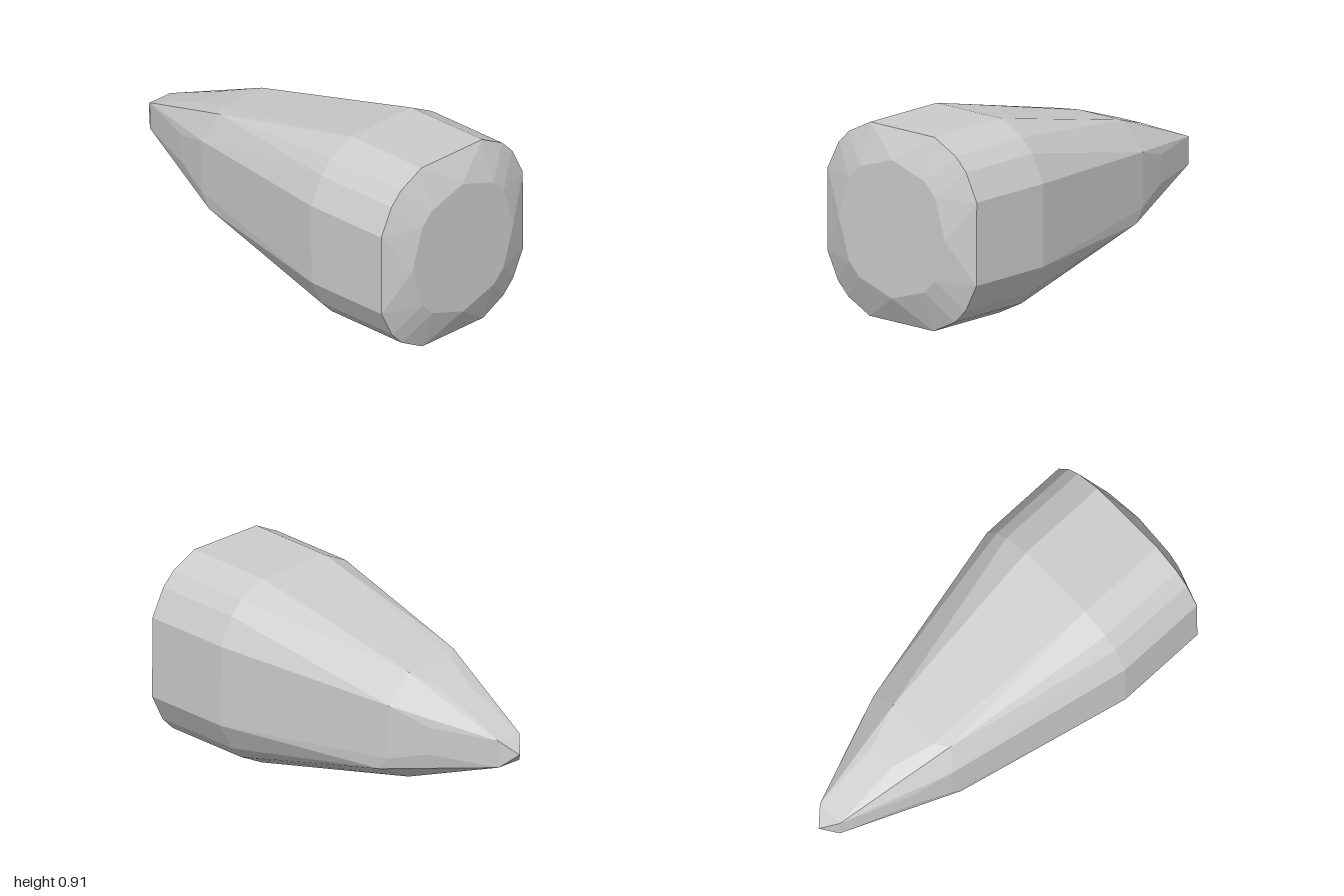
import * as THREE from 'three';
import { ConvexGeometry } from 'three/addons/geometries/ConvexGeometry.js';

// Cross-sections along x: one octant of (y, z) offsets, mirrored eight ways
const sections = [
  { x: -0.93, octant: [[0.065, 0.065]] },
  { x: -0.60, octant: [[0.195, 0.067]] },
  { x: -0.41, octant: [[0.257, 0.13]] },
  { x: 0.48, octant: [[0.454, 0.195], [0.388, 0.325]] },
  { x: 0.927, octant: [[0.454, 0.195], [0.388, 0.325]] },
  { x: 0.995, octant: [[0.324, 0], [0.26, 0.197]] },
];

function hullPoints() {
  const points = [new THREE.Vector3(-1, 0, 0)]; // pointed tip
  for (const { x, octant } of sections)
    for (const [a, b] of octant)
      for (const s of [-1, 1])
        for (const t of [-1, 1])
          points.push(new THREE.Vector3(x, a * s, b * t), new THREE.Vector3(x, b * t, a * s));
  // Small irregular shoulders behind the nose
  points.push(
    new THREE.Vector3(-0.36, -0.195, 0.262),
    new THREE.Vector3(-0.36, -0.195, -0.262),
    new THREE.Vector3(-0.36, 0.262, 0.195),
  );
  return points;
}

export function createModel() {
  const group = new THREE.Group();
  group.name = 'bullet';
  const grey = new THREE.MeshStandardMaterial({ color: 0xcccccc });
  grey.name = 'light grey';

  // Faceted body, its axis very slightly tilted
  const body = new THREE.Mesh(new ConvexGeometry(hullPoints()), grey);
  body.name = 'body';
  body.rotation.set(0, -0.007, 0.006);
  body.position.set(0, 0.451, -0.007);
  group.add(body);
  return group;
}
